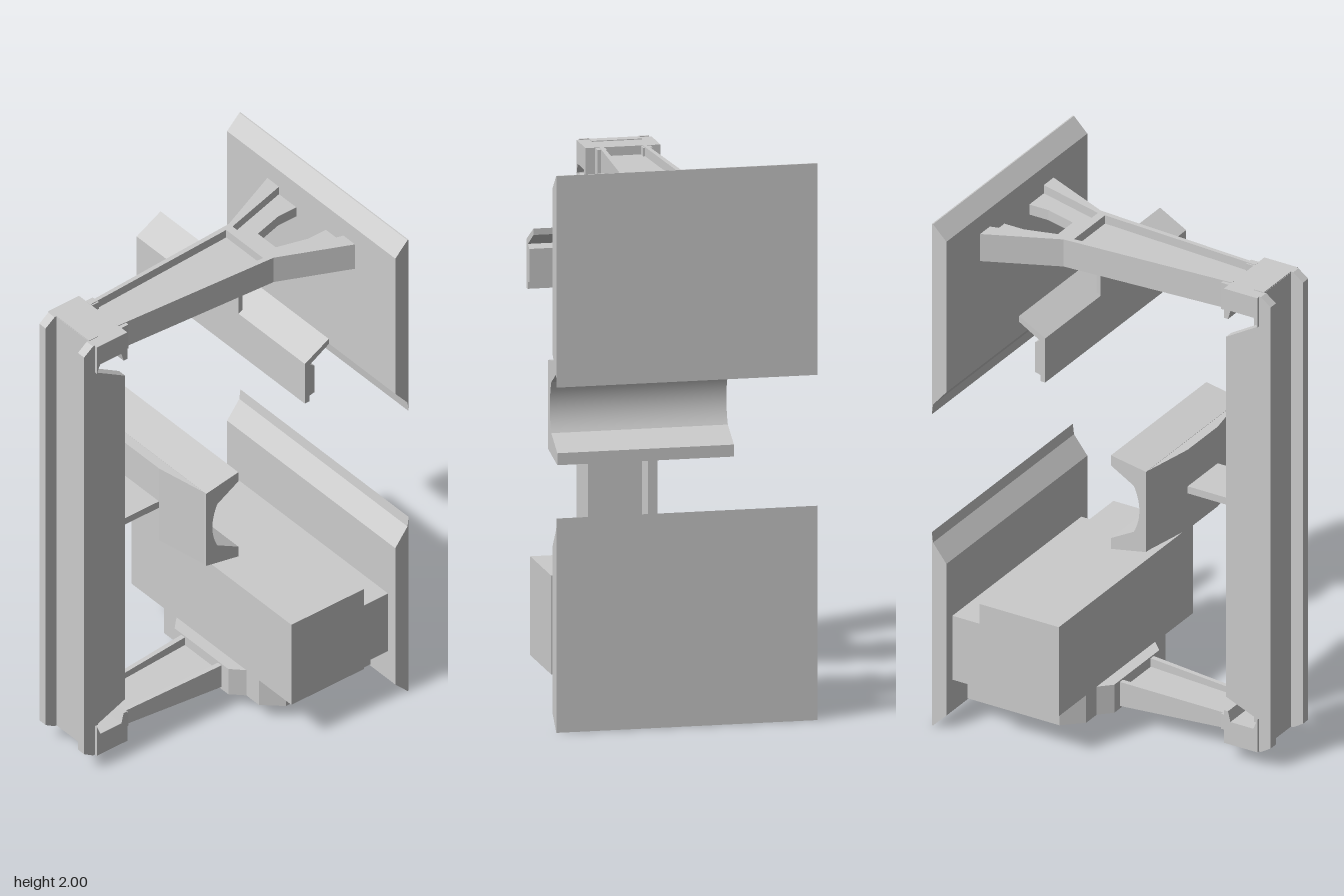
import * as THREE from 'three';
import { toCreasedNormals } from 'three/addons/utils/BufferGeometryUtils.js';

const material = new THREE.MeshStandardMaterial({ color: 0xcccccc, flatShading: true });
const smooth = new THREE.MeshStandardMaterial({ color: 0xcccccc });

export function createModel() {
  const model = new THREE.Group();

  function add(name, geometry, mat = material) {
    const mesh = new THREE.Mesh(geometry, mat);
    mesh.name = name;
    model.add(mesh);
    return mesh;
  }
  // Box from its limits
  function box(name, x0, x1, y0, y1, z0, z1) {
    const g = new THREE.BoxGeometry(x1 - x0, y1 - y0, z1 - z0);
    return add(name, g.translate((x0 + x1) / 2, (y0 + y1) / 2, (z0 + z1) / 2));
  }
  const polygon = (pts) => new THREE.Shape(pts.map(([a, b]) => new THREE.Vector2(a, b)));
  // Side profile in (z, y), extruded across x
  function across(shape, x0, x1) {
    const g = new THREE.ExtrudeGeometry(shape, { depth: x1 - x0, bevelEnabled: false, curveSegments: 16 });
    return g.rotateY(-Math.PI / 2).translate(x1, 0, 0);
  }
  // Plan outline in (x, z), extruded upwards
  function upward(pts, y0, y1) {
    const g = new THREE.ExtrudeGeometry(polygon(pts.map(([x, z]) => [x, -z])), { depth: y1 - y0, bevelEnabled: false });
    return g.rotateX(-Math.PI / 2).translate(0, y0, 0);
  }
  // Closed plan outline from its +x half
  const mirrored = (half) => [...half, ...half.map(([x, z]) => [-x, z]).reverse()];

  // Rear panels with bevelled long edges
  for (const [name, y0, a, b, c, d, y1] of [
    ['upperRearPanel', 1.24, 1.28, 1.345, 1.945, 2.0, 2.0],
    ['lowerRearPanel', 0, 0, 0.055, 0.66, 0.73, 0.77],
  ]) {
    const pts = [[-0.59, y0], [-0.585, a], [-0.53, b], [-0.53, c], [-0.585, d], [-0.59, y1]];
    add(name, across(polygon(pts), -0.47, 0.47));
  }

  // Front column: two side flanges joined by a recessed web
  const flange = [[0.595, 0.085], [0.595, 1.845], [0.555, 1.875], [0.545, 1.875], [0.545, 1.755], [0.41, 1.675],
    [0.41, 0.24], [0.545, 0.185], [0.545, 0.06], [0.555, 0.06]];
  for (const s of [-1, 1]) {
    add('columnFlange', across(polygon(flange), s < 0 ? -0.125 : 0.09, s < 0 ? -0.09 : 0.125));
  }
  box('columnWeb', -0.09, 0.09, 0.06, 1.875, 0.505, 0.545);

  // Notched end caps
  const cap = [[0.546, 1.872], [0.546, 1.755], [0.53, 1.79], [0.435, 1.79], [0.425, 1.755], [0.408, 1.755], [0.408, 1.872]];
  add('upperCap', across(polygon(cap), -0.135, 0.135));
  const lowCap = [[0.546, 0.06], [0.546, 0.19], [0.53, 0.15], [0.435, 0.15], [0.425, 0.19], [0.408, 0.19], [0.408, 0.06]];
  add('lowerCap', across(polygon(lowCap), -0.135, 0.135));

  // Upper arm: forked rails, web and cross rib
  const rail = [[0.085, 0.41], [0.125, -0.26], [0.245, -0.53], [0.18, -0.53], [0.105, -0.26], [0.07, 0.41]];
  for (const s of [-1, 1]) {
    add('upperArmRail', upward(rail.map(([x, z]) => [s * x, z]), 1.765, 1.873));
    box('upperArmLug', s > 0 ? 0.065 : -0.1, s > 0 ? 0.1 : -0.065, 1.765, 1.87, 0.375, 0.41);
  }
  add('upperArmWeb', upward(mirrored([[0.075, 0.41], [0.11, -0.26]]), 1.80, 1.84));
  add('upperArmRib', upward(mirrored([[0.108, -0.23], [0.108, -0.26]]), 1.765, 1.873));
  add('forkWeb', upward(mirrored([[0.11, -0.255], [0.185, -0.53], [0.083, -0.53], [0.083, -0.45], [0.05, -0.33]]), 1.80, 1.84));

  // Lower arm, growing taller toward the rear
  function taper(g) {
    const p = g.attributes.position;
    for (let i = 0; i < p.count; i++) {
      const t = (0.41 - p.getZ(i)) / 0.45;
      const low = 0.09 - 0.02 * t, high = 0.148 + 0.018 * t;
      p.setY(i, low + (high - low) * p.getY(i));
    }
    g.computeVertexNormals();
    return g;
  }
  for (const s of [-1, 1]) {
    const lowerRail = [[0.085, 0.41], [0.113, -0.04], [0.093, -0.04], [0.07, 0.41]];
    add('lowerArmRail', taper(upward(lowerRail.map(([x, z]) => [s * x, z]), 0, 1)));
    box('lowerArmLug', s > 0 ? 0.065 : -0.1, s > 0 ? 0.1 : -0.065, 0.09, 0.15, 0.375, 0.41);
  }
  add('lowerArmWeb', taper(upward(mirrored([[0.075, 0.41], [0.1, -0.04]]), 0.35, 0.65)));

  // Base with chamfered front and four feet
  add('base', upward(mirrored([[0.15, -0.035], [0.195, -0.08], [0.265, -0.08], [0.33, -0.15], [0.33, -0.53]]), 0.06, 0.172));
  for (const x of [-0.24, 0.115]) {
    box('frontFoot', x, x + 0.125, 0.02, 0.065, -0.31, -0.19);
    box('rearFoot', x, x + 0.125, 0.02, 0.065, -0.54, -0.43);
  }

  // Boxes on the base
  box('mainBox', -0.447, 0.447, 0.17, 0.525, -0.408, -0.08);
  box('rearBox', -0.43, 0.43, 0.18, 0.435, -0.535, -0.405);

  // Cradle with a smooth channel at the back and a tapered front
  const cradle = new THREE.Shape();
  cradle.moveTo(0.2, 0.845);
  cradle.lineTo(0.2, 1.165);
  cradle.lineTo(0.055, 1.19);
  cradle.lineTo(0.055, 1.15);
  cradle.lineTo(0.15, 1.095);
  cradle.quadraticCurveTo(0.195, 1.0, 0.15, 0.912);
  cradle.lineTo(0.055, 0.86);
  cradle.lineTo(0.055, 0.817);
  add('cradle', toCreasedNormals(across(cradle, -0.318, 0.318), 0.4), smooth);
  add('cradleFront', upward(mirrored([[0.318, 0.198], [0.1, 0.237]]), 0.846, 1.164));
  box('cradleSupport', -0.1, 0.1, 0.99, 1.018, 0.23, 0.52);

  // Hanging rail with an angled lip
  const hanging = [[-0.122, 1.5], [-0.122, 1.676], [-0.23, 1.735], [-0.23, 1.712], [-0.145, 1.662],
    [-0.165, 1.648], [-0.165, 1.53], [-0.142, 1.525], [-0.142, 1.5]];
  add('hangingRail', across(polygon(hanging), -0.47, 0.47));
  box('railHanger', -0.1, 0.1, 1.66, 1.81, -0.14, -0.122);

  return model;
}
